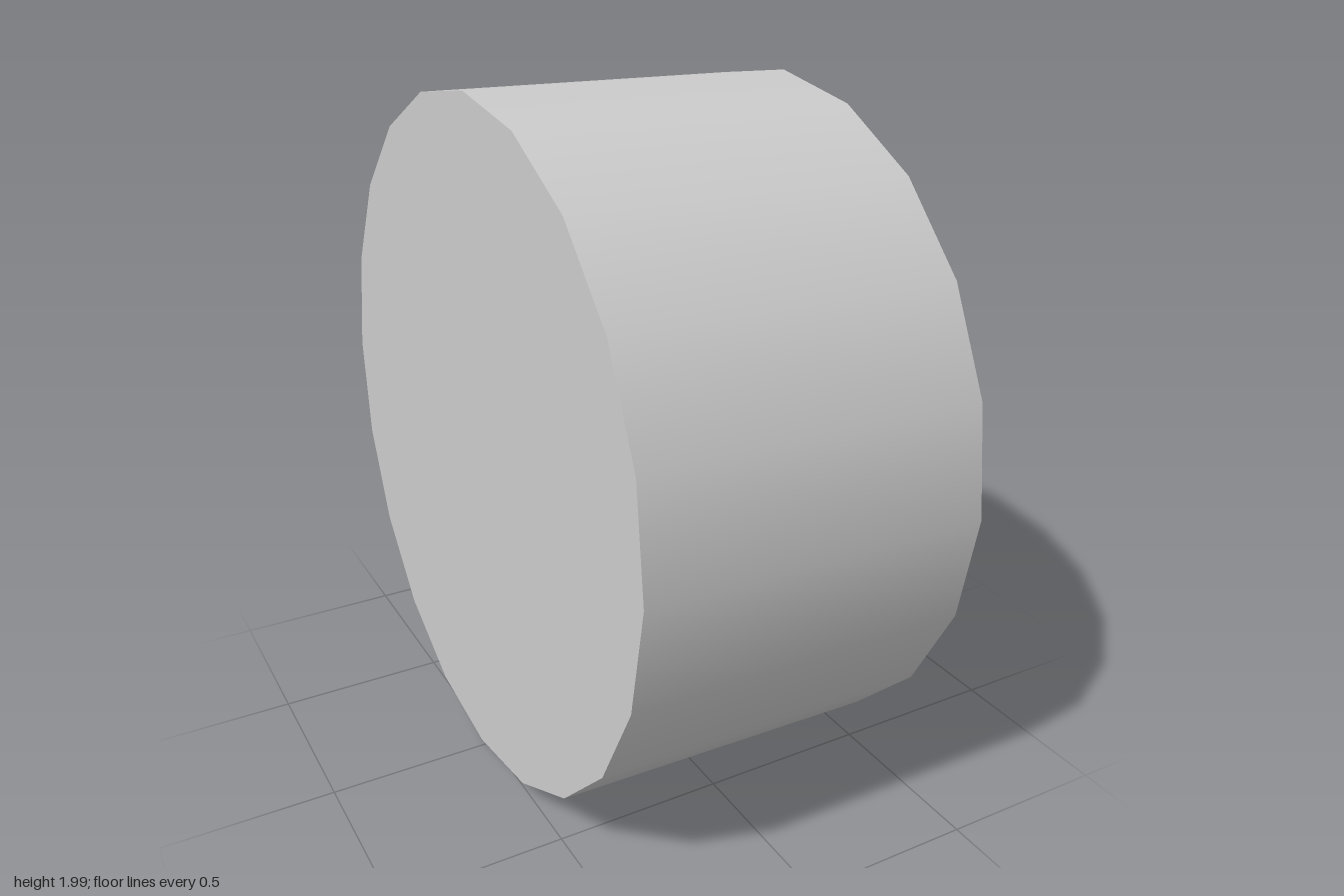
import * as THREE from 'three';

const R = 0.987, INNER = 0.846;          // outer and bore radii
const BACK = -0.49, FRONT = 0.49;        // ends of the outer wall
const LIP = 0.528, FLOOR = 0.05, FAN = 0.386;
const BORE_SIDES = 21, BORE_TURN = THREE.MathUtils.degToRad(91.4);

const solid = new THREE.MeshStandardMaterial({ color: 0xcccccc });
const thin = new THREE.MeshStandardMaterial({ color: 0xcccccc, side: THREE.DoubleSide });

// Corner points of a regular polygon
function ring(radius, sides, start) {
  return Array.from({ length: sides }, (_, i) => {
    const a = start + (i / sides) * Math.PI * 2;
    return new THREE.Vector2(radius * Math.cos(a), radius * Math.sin(a));
  });
}

// Open tube running along z
function tube(radius, sides, z0, z1) {
  const geo = new THREE.CylinderGeometry(radius, radius, z1 - z0, sides, 1, true);
  return geo.rotateX(Math.PI / 2).translate(0, 0, (z0 + z1) / 2);
}

export function createModel() {
  const model = new THREE.Group();
  model.name = 'ductedFan';
  // Parts are built facing +z, then turned to face +x
  const body = new THREE.Group();
  body.name = 'body';
  body.rotation.y = Math.PI / 2;
  model.add(body);

  const add = (name, geo, mat = solid, parent = body) => {
    const mesh = new THREE.Mesh(geo, mat);
    mesh.name = name;
    parent.add(mesh);
    return mesh;
  };

  // Housing: outer wall and closed back
  add('outerWall', tube(R, 20, BACK, FRONT));
  add('backPlate', new THREE.CircleGeometry(R, 20).rotateY(Math.PI).translate(0, 0, BACK));

  // Sloping lip between the outer wall and the bore
  const lipShape = new THREE.Shape(ring(R, 20, Math.PI / 2));
  lipShape.holes.push(new THREE.Path(ring(INNER, BORE_SIDES, BORE_TURN)));
  const lip = new THREE.ShapeGeometry(lipShape);
  const p = lip.attributes.position;
  for (let i = 0; i < p.count; i++) {
    const isOuter = Math.hypot(p.getX(i), p.getY(i)) > (R + INNER) / 2;
    p.setZ(i, isOuter ? FRONT : LIP);
  }
  lip.computeVertexNormals();
  add('frontLip', lip);

  // Recessed bore with its floor
  add('boreWall', tube(INNER, BORE_SIDES, FLOOR, LIP).rotateZ(BORE_TURN + Math.PI / 2), thin);
  add('boreFloor', new THREE.CircleGeometry(INNER, BORE_SIDES, BORE_TURN).translate(0, 0, FLOOR));

  // Three thin blades meeting at the hub
  const fan = new THREE.Group();
  fan.name = 'fan';
  fan.position.set(0.01, -0.008, FAN);
  body.add(fan);
  const outline = [
    [0, 0], [0.24, 0.21], [0.46, 0.36], [0.59, 0.39], [0.59, 0.49],
    [0.48, 0.64], [0.36, 0.75], [0.22, 0.79], [0.11, 0.56], [0.04, 0.31],
  ].map(([x, y]) => new THREE.Vector2(x, y));
  const bladeGeo = new THREE.ShapeGeometry(new THREE.Shape(outline));
  [0, 136, 245.4].forEach((deg, i) => {
    add('blade' + (i + 1), bladeGeo, thin, fan).rotation.z = THREE.MathUtils.degToRad(deg);
  });

  // Slight forward lean
  model.rotation.z = -0.02;
  model.position.set(-0.02, 1, 0);
  const root = new THREE.Group();
  root.name = 'fanUnit';
  root.add(model);
  return root;
}
